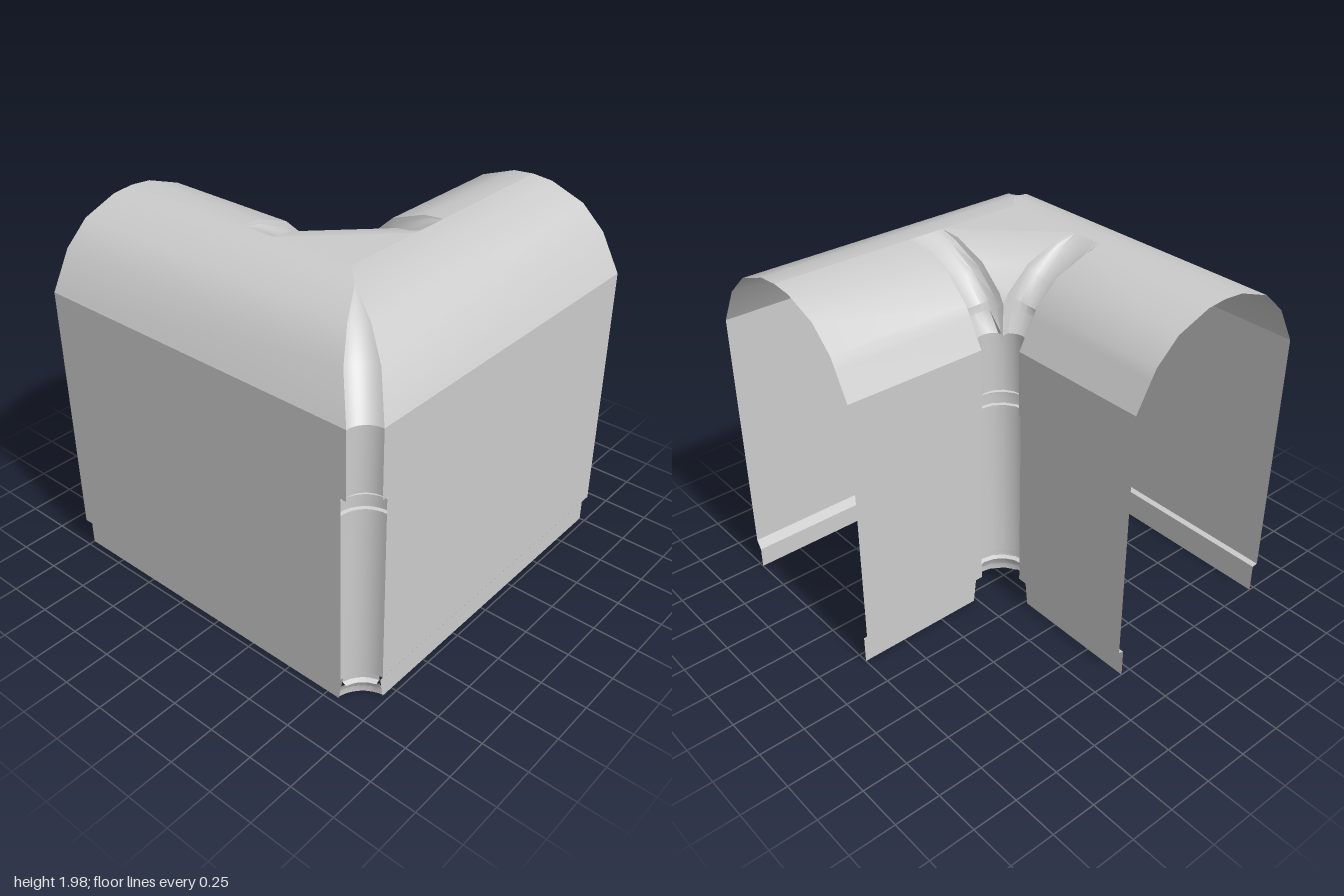
import * as THREE from 'three';
import { toCreasedNormals } from 'three/addons/utils/BufferGeometryUtils.js';

const material = new THREE.MeshStandardMaterial({ color: 0xcccccc, side: THREE.DoubleSide });

// Skins a list of cross-sections (rows of [x, y, z]) with equal point counts.
function loft(name, rows, crease = 0.48) {
  const pos = [];
  const a = new THREE.Vector3(), b = new THREE.Vector3(), c = new THREE.Vector3();
  const tri = (p, q, r) => {
    a.set(...p); b.set(...q); c.set(...r);
    if (b.sub(a).cross(c.sub(a)).length() > 1e-8) pos.push(...p, ...q, ...r);
  };
  for (let i = 0; i < rows.length - 1; i++) {
    for (let j = 0; j < rows[i].length - 1; j++) {
      tri(rows[i][j], rows[i][j + 1], rows[i + 1][j + 1]);
      tri(rows[i][j], rows[i + 1][j + 1], rows[i + 1][j]);
    }
  }
  const geometry = new THREE.BufferGeometry();
  geometry.setAttribute('position', new THREE.Float32BufferAttribute(pos, 3));
  const mesh = new THREE.Mesh(toCreasedNormals(geometry, crease), material);
  mesh.name = name;
  return mesh;
}

// Swaps the two corridor arms across the diagonal.
const swap = rows => rows.map(row => row.map(([x, y, z]) => [z, y, x]).reverse());

// Sheet running along x from the open end; profile entries are [z, y, end x].
const sheet = profile => profile.map(([z, y, end]) => [[-1, y, z], [end, y, z]]);

// Vertical column or groove; levels are [y, radius, centre].
function columnRows(levels, from, to, limit = () => Infinity) {
  const n = 10;
  return levels.map(([y, r, c]) => Array.from({ length: n + 1 }, (_, i) => {
    const t = from + (to - from) * i / n;
    return [Math.min(c + r * Math.cos(t), limit(y)), y, Math.min(c + r * Math.sin(t), limit(y))];
  }));
}

export function createModel() {
  const group = new THREE.Group();
  group.name = 'vaultedCorridorCorner';

  const outerArch = [[1, 1.58], [0.89, 1.78], [0.76, 1.9], [0.57, 1.97], [0.455, 1.98]];
  const innerArch = [[-0.09, 1.58], [-0.01, 1.725], [0.02, 1.78], [0.15, 1.9], [0.34, 1.97], [0.455, 1.98]];
  const grooveRadius = [0.11, 0.11, 0.07, 0, 0];

  // Walls and vault halves of both arms
  const outerSheet = sheet([
    [1, 0.17, 0.86], [1, 1.22, 0.86], [1, 1.22, 0.89],
    ...outerArch.map(([z, y], i) => [z, y, z - grooveRadius[i]]),
  ]);
  const innerSheet = sheet([
    [-0.09, 0.17, -0.235], [-0.09, 1.22, -0.235], [-0.09, 1.22, -0.22],
    ...innerArch.map(([z, y]) => [z, y, -0.22]),
  ]);
  group.add(loft('frontOuterWall', outerSheet), loft('sideOuterWall', swap(outerSheet)));
  group.add(loft('frontInnerWall', innerSheet), loft('sideInnerWall', swap(innerSheet)));

  // Skirtings, set slightly into the corridor
  group.add(loft('frontOuterSkirting', sheet([[0.966, 0, 0.82], [0.966, 0.165, 0.85], [1, 0.17, 0.86]])));
  group.add(loft('sideOuterSkirting', swap(sheet([[0.97, 0, 0.82], [0.97, 0.12, 0.84], [1, 0.17, 0.86]]))));
  const innerSkirting = sheet([[-0.06, 0, -0.27], [-0.06, 0.16, -0.25], [-0.09, 0.17, -0.235]]);
  group.add(loft('frontInnerSkirting', innerSkirting), loft('sideInnerSkirting', swap(innerSkirting)));

  // Corner columns: flared foot, collar, shaft, two rings, slimmer neck
  const columnProfile = [
    [0, 0.19], [0.035, 0.19], [0.1, 0.155], [0.112, 0.135], [0.122, 0.158], [0.16, 0.158],
    [0.17, 0.14], [1.13, 0.14], [1.135, 0.156], [1.15, 0.156], [1.155, 0.14], [1.21, 0.14],
    [1.215, 0.156], [1.232, 0.156], [1.24, 0.11], [1.58, 0.11],
  ];
  const footLimit = y => (y < 0.165 ? 0.967 : 1);
  group.add(loft('outerColumn',
    columnRows(columnProfile.map(([y, r]) => [y, r, 1]), Math.PI, Math.PI * 1.5, footLimit), 0.5));
  group.add(loft('innerColumn',
    columnRows(columnProfile.map(([y, r]) => [y, r + 0.02, -0.1]), 2.72, -1.15), 0.5));

  // Groove rib where the outer vaults meet
  group.add(loft('outerGroinRib',
    columnRows(outerArch.map(([c, y], i) => [y, grooveRadius[i], c]), Math.PI, Math.PI * 1.5)));

  // Inner arch ribs: half-round troughs fading out at the crown
  const depth = [0.12, 0.115, 0.105, 0.09, 0.045, 0];
  const ribRows = innerArch.map(([z, y], i) => {
    const p = innerArch[Math.max(i - 1, 0)], q = innerArch[Math.min(i + 1, innerArch.length - 1)];
    const length = Math.hypot(q[0] - p[0], q[1] - p[1]);
    const nz = i ? (q[1] - p[1]) / length : 1, ny = i ? -(q[0] - p[0]) / length : 0;
    return Array.from({ length: 9 }, (_, j) => {
      const t = Math.PI * j / 8, d = depth[i] * Math.sin(t);
      const pz = z + nz * d;
      return [Math.min(-0.115 - 0.105 * Math.cos(t), pz), y + ny * d, pz];
    });
  });
  group.add(loft('frontInnerArchRib', ribRows), loft('sideInnerArchRib', swap(ribRows)));

  // Fan surface between the two ribs, and the flat crown beyond it
  group.add(loft('innerVaultFan',
    innerArch.slice(1).map(([z, y]) => [[-0.01, y, z], [z, y, -0.01]])));
  group.add(loft('cornerCrown', [
    [[-0.01, 1.98, 0.455], [0.455, 1.98, -0.01]],
    [[0.455, 1.98, 0.455], [0.455, 1.98, 0.455]],
  ]));

  return group;
}
